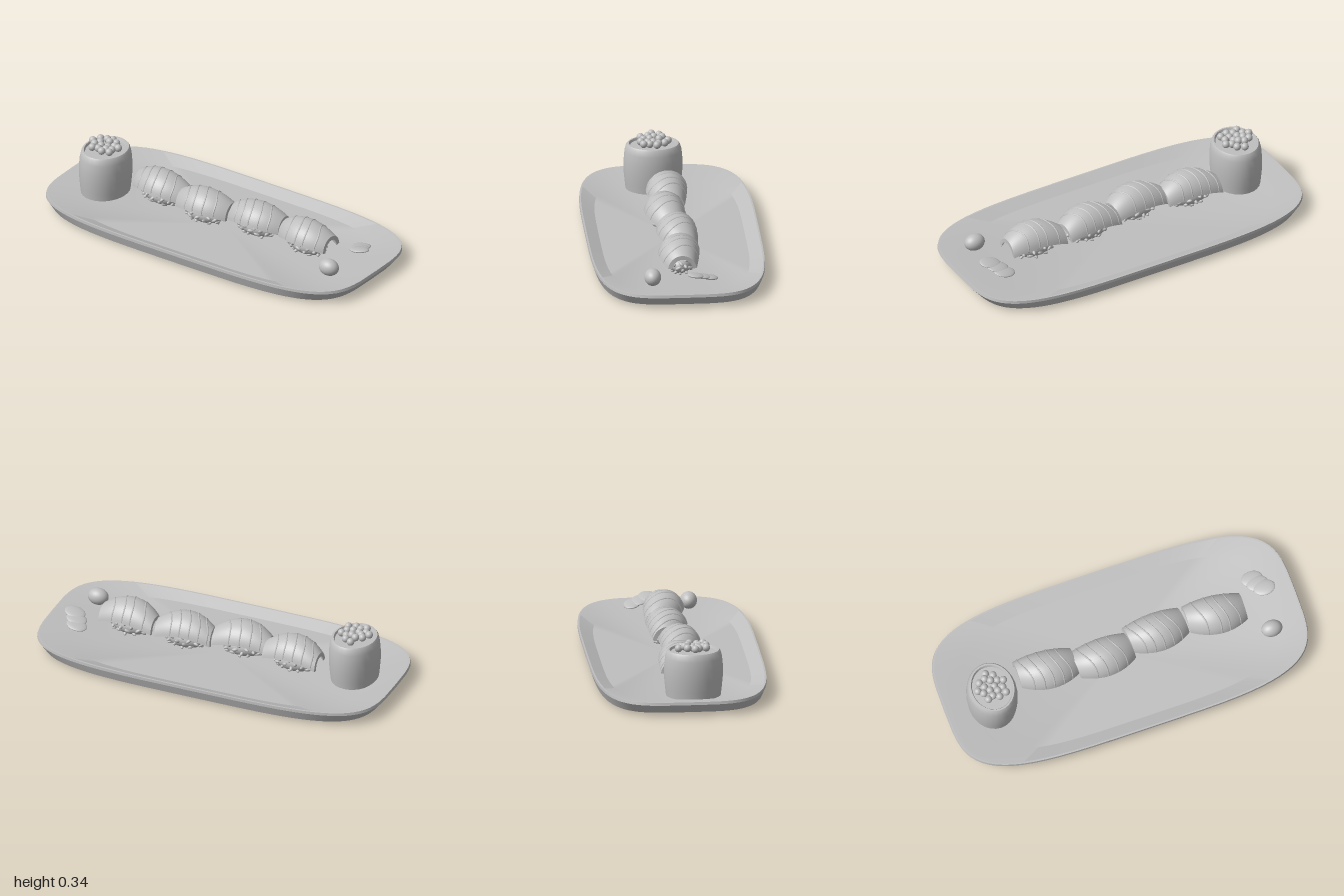
import * as THREE from 'three';
import { toCreasedNormals } from 'three/addons/utils/BufferGeometryUtils.js';

const FLOOR = 0.05;

function seeded(seed) {
  return () => (seed = (seed * 16807) % 2147483647) / 2147483647;
}

// Rounded-rectangle rings [halfX, halfZ, y] joined from the base, over the rim, into the well
function plateGeometry() {
  const rings = [
    [0, 0, 0], [0.88, 0.39, 0], [0.96, 0.45, 0.015], [1, 0.467, 0.065], [0.996, 0.466, 0.08],
    [0.985, 0.457, 0.08], [0.835, 0.39, FLOOR], [0, 0, FLOOR],
  ];
  const n = 72, pos = [], idx = [];
  const power = (v) => Math.sign(v) * Math.sqrt(Math.abs(v));
  rings.forEach(([hx, hz, y]) => {
    for (let i = 0; i < n; i++) {
      const t = (i / n) * Math.PI * 2;
      pos.push(hx * power(Math.cos(t)), y, hz * power(Math.sin(t)));
    }
  });
  for (let r = 0; r < rings.length - 1; r++) {
    for (let i = 0; i < n; i++) {
      const a = r * n + i, b = r * n + ((i + 1) % n);
      if (r < rings.length - 2) idx.push(a, a + n, b + n);
      if (r > 0) idx.push(a, b + n, b);
    }
  }
  const g = new THREE.BufferGeometry();
  g.setAttribute('position', new THREE.Float32BufferAttribute(pos, 3));
  g.setIndex(idx);
  return toCreasedNormals(g, 0.35);
}

// Point on the draped topping: u along, v across (-1..1), t = depth below its top surface
function drape(u, v, t = 0) {
  const width = 0.112 - 0.034 * u * u;
  const drop = 0.115 - 0.03 * u * u;
  const a = v * 1.4;
  return new THREE.Vector3(
    u * 0.158 + 0.008 * v,
    0.246 - 0.055 * u * u - drop * (1 - Math.cos(a)) - t * Math.cos(a),
    (width - t) * Math.sin(a) - 0.022 * u * u + 0.008,
  );
}

function toppingGeometry() {
  const g = new THREE.BoxGeometry(2, 1, 2, 20, 1, 20);
  const p = g.attributes.position;
  for (let i = 0; i < p.count; i++) {
    const q = drape(p.getX(i), p.getZ(i), (0.5 - p.getY(i)) * 0.022);
    p.setXYZ(i, q.x, q.y, q.z);
  }
  g.computeVertexNormals();
  return g;
}

// Wavy raised ridge running diagonally over the topping
function ridgeGeometry(u0) {
  const pts = [];
  for (let i = 0; i <= 12; i++) {
    const v = -0.97 + (1.94 * i) / 12;
    const u = THREE.MathUtils.clamp(u0 + 0.17 * v + 0.06 * Math.sin(v * 4), -0.97, 0.97);
    pts.push(drape(u, v, 0.002));
  }
  return new THREE.TubeGeometry(new THREE.CatmullRomCurve3(pts), 32, 0.005, 6);
}

export function createModel() {
  const root = new THREE.Group();
  const grey = new THREE.MeshStandardMaterial({ color: 0xbfbfbf });
  grey.name = 'plain grey';

  const add = (parent, name, geometry, position = [0, 0, 0], scale = [1, 1, 1], rotation = [0, 0, 0]) => {
    const m = new THREE.Mesh(geometry, grey);
    m.name = name;
    m.position.set(...position);
    m.scale.set(...scale);
    m.rotation.set(...rotation);
    parent.add(m);
    return m;
  };

  const ball = new THREE.SphereGeometry(1, 24, 16);
  const bead = new THREE.SphereGeometry(1, 12, 8);

  add(root, 'plate', plateGeometry());

  // Oval roll with a shallow recess for the roe
  const roll = new THREE.Group();
  roll.name = 'roeRoll';
  roll.position.set(-0.742, 0, 0.045);
  root.add(roll);
  const profile = [
    [0.126, FLOOR], [0.13, 0.09], [0.135, 0.15], [0.135, 0.21], [0.131, 0.262], [0.124, 0.292],
    [0.118, 0.301], [0.11, 0.301], [0.105, 0.288], [0, 0.288],
  ].map(([x, y]) => new THREE.Vector2(x, y));
  add(roll, 'wrap', toCreasedNormals(new THREE.LatheGeometry(profile, 28), 0.6), [0, 0, 0], [1, 1, 1.17]);

  // Roe beads spread in a sunflower pattern
  for (let i = 0; i < 18; i++) {
    const r = Math.sqrt((i + 0.5) / 18), a = i * 2.4;
    add(roll, 'roe', bead, [0.083 * r * Math.cos(a), 0.31 + 0.014 * ((i * 7) % 5) / 4, 0.088 * r * Math.sin(a)],
      [0.021, 0.021, 0.021]);
  }

  // Four draped pieces: x, z, yaw, ridge positions
  const topping = toppingGeometry();
  const pieces = [
    [-0.415, -0.01, -0.08, [-0.72, -0.38, -0.05, 0.3, 0.62]],
    [-0.105, 0.025, 0.04, [-0.6, -0.25, 0.12, 0.5]],
    [0.212, -0.015, 0.04, [-0.75, -0.45, -0.12, 0.22, 0.55]],
    [0.54, -0.003, -0.09, [-0.55, -0.1, 0.2, 0.6]],
  ];
  pieces.forEach(([x, z, yaw, ridges], k) => {
    const piece = new THREE.Group();
    piece.name = 'sushiPiece';
    piece.position.set(x, 0, z);
    piece.rotation.y = yaw;
    root.add(piece);
    add(piece, 'topping', topping);
    ridges.forEach((u) => add(piece, 'toppingRidge', ridgeGeometry(u)));

    // Rice core studded with grains
    add(piece, 'riceCore', ball, [0, 0.105, 0], [0.115, 0.056, 0.068]);
    const rand = seeded(71 + k * 13);
    for (let i = 0; i < 46; i++) {
      const a = i * 2.4, h = -0.75 + (1.5 * i) / 45, c = Math.sqrt(1 - h * h);
      add(piece, 'riceGrain', bead, [0.114 * c * Math.cos(a), 0.105 + 0.055 * h, 0.068 * c * Math.sin(a)],
        [0.018, 0.009, 0.009], [0, rand() * 3, (rand() - 0.5) * 1.2]);
    }
  });

  // Garnishes: a rounded dab and overlapping thin slices
  add(root, 'pasteDab', ball, [0.803, 0.115, 0.165], [0.058, 0.046, 0.045]);
  [[0.797, 0.105, -0.14], [0.815, 0.118, -0.1], [0.84, 0.132, -0.062]].forEach((p) => {
    add(root, 'pickleSlice', ball, p, [0.06, 0.011, 0.046], [-0.12, -0.15, 0.15]);
  });

  return root;
}
